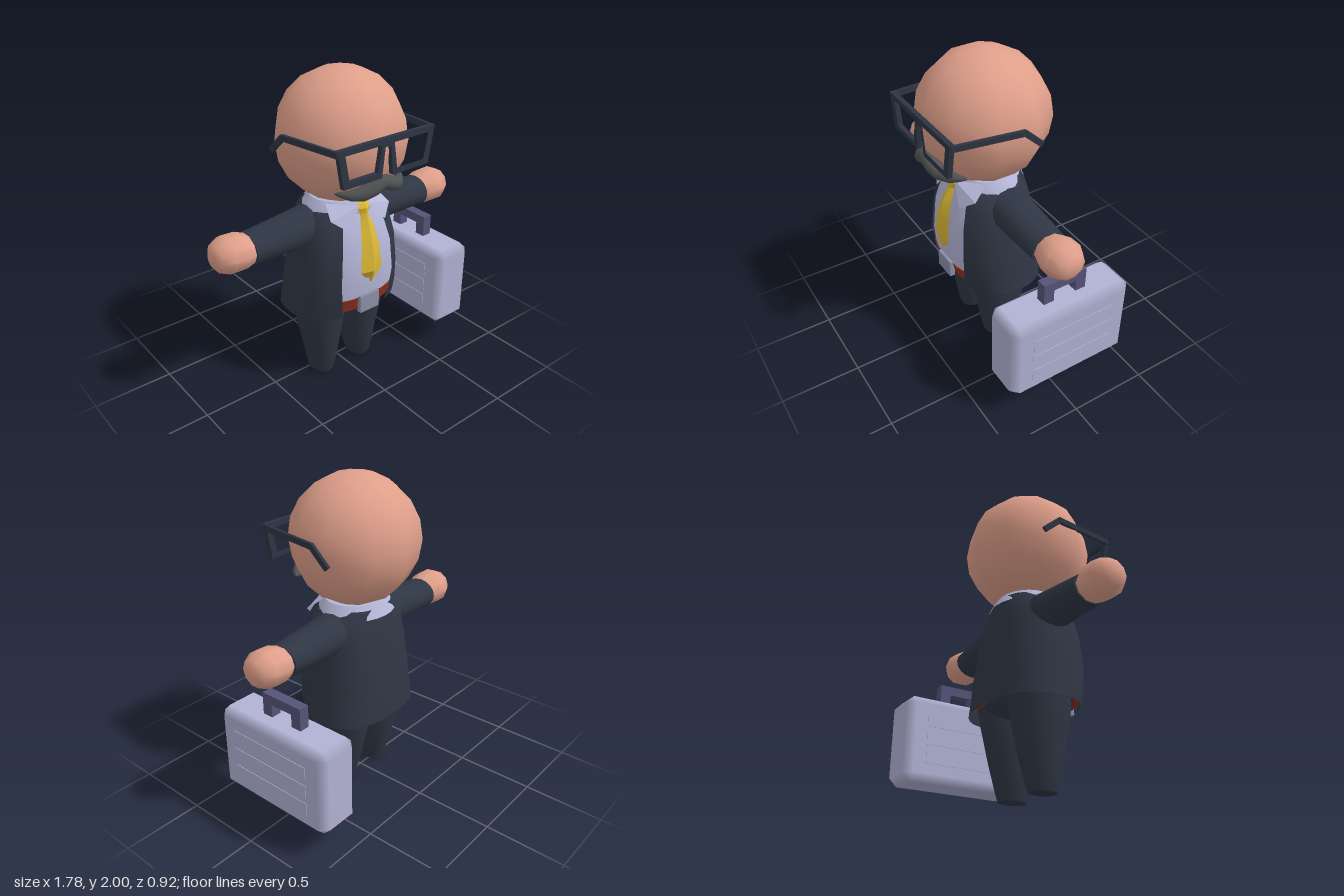
import * as THREE from 'three';
import { toCreasedNormals } from 'three/addons/utils/BufferGeometryUtils.js';
import { ConvexGeometry } from 'three/addons/geometries/ConvexGeometry.js';

const mat = (name, color, side = THREE.FrontSide) => {
  const m = new THREE.MeshStandardMaterial({ color, side });
  m.name = name;
  return m;
};

// One horizontal cross-section; gap leaves it open at the front, p < 1 squares it off
function ring(y, rx, back, front, { gap = 0, cx = 0, n = 24, p = 1 } = {}) {
  const a0 = gap ? Math.asin(Math.pow(gap / rx, 1 / p)) : 0;
  const pow = v => Math.sign(v) * Math.pow(Math.abs(v), p);
  const count = gap ? n + 1 : n;
  return Array.from({ length: count }, (_, i) => {
    const a = a0 + (2 * Math.PI - 2 * a0) * i / n;
    return [cx + rx * pow(Math.sin(a)), y, (front + back) / 2 + (front - back) / 2 * pow(Math.cos(a))];
  });
}

// Skin over cross-sections listed from bottom to top
function loft(rings, { closed = true, caps = false, crease = 0.8 } = {}) {
  if (caps) {
    const centre = r => {
      const c = [0, 1, 2].map(k => r.reduce((s, q) => s + q[k], 0) / r.length);
      return r.map(() => c);
    };
    rings = [centre(rings[0]), ...rings, centre(rings[rings.length - 1])];
  }
  const n = rings[0].length, index = [];
  for (let i = 0; i < rings.length - 1; i++) {
    for (let j = 0; j < (closed ? n : n - 1); j++) {
      const k = (j + 1) % n, a = i * n + j, b = i * n + k;
      if (!(caps && i === 0)) index.push(a, b, b + n);
      else index.push(a, b + n, a + n);
      if (!(caps && (i === 0 || i === rings.length - 2))) index.push(a, b + n, a + n);
    }
  }
  const g = new THREE.BufferGeometry();
  g.setAttribute('position', new THREE.Float32BufferAttribute(rings.flat(2), 3));
  g.setIndex(index);
  return toCreasedNormals(g, crease);
}

// Box with chamfered edges, shaded softly across the chamfers
function chamferBox(w, h, d, c) {
  const half = [w / 2, h / 2, d / 2], pts = [];
  for (const sx of [-1, 1]) for (const sy of [-1, 1]) for (const sz of [-1, 1])
    for (let axis = 0; axis < 3; axis++)
      pts.push(new THREE.Vector3(...[sx, sy, sz].map((s, k) => s * (half[k] - (k === axis ? 0 : c)))));
  const g = new ConvexGeometry(pts), pos = g.attributes.position;
  for (let i = 0; i < pos.count; i++) {
    const v = [pos.getX(i), pos.getY(i), pos.getZ(i)];
    g.attributes.normal.setXYZ(i, ...v.map((q, k) => (Math.abs(q) > half[k] - 1e-4 ? Math.sign(q) : 0)));
  }
  return g;
}

export function createModel() {
  const model = new THREE.Group();
  const skin = mat('skin', 0xdf9f8a), suit = mat('suit', 0x2f3644, THREE.DoubleSide);
  const shirtMat = mat('shirt', 0xb5b6d8, THREE.DoubleSide), gold = mat('tie gold', 0xdcb936);
  const red = mat('belt red', 0x93301f), metal = mat('buckle', 0x8b90a8);
  const shell = mat('case shell', 0xb1b2d3), grip = mat('case handle', 0x565379);
  const frameMat = mat('glasses frame', 0x2d3442), hair = mat('moustache grey', 0x505153);

  const add = (name, geo, material, x = 0, y = 0, z = 0) => {
    const m = new THREE.Mesh(geo, material);
    m.name = name;
    m.position.set(x, y, z);
    model.add(m);
    return m;
  };

  // Head
  add('head', new THREE.SphereGeometry(0.4, 10, 10).rotateY(Math.PI / 2), skin, 0, 1.6, 0.042);

  // Jacket, open at the front: y, half width, back, front, half opening
  const jacket = [
    [0.505, 0.38, -0.265, 0.29, 0.17], [0.6, 0.368, -0.26, 0.32, 0.185], [0.75, 0.352, -0.25, 0.34, 0.2],
    [0.95, 0.33, -0.222, 0.325, 0.185], [1.08, 0.305, -0.2, 0.285, 0.16],
    [1.16, 0.265, -0.18, 0.25, 0.13], [1.215, 0.2, -0.16, 0.2, 0.1],
  ];
  add('jacket', loft(jacket.map(([y, w, b, f, gap]) => ring(y, w, b, f, { gap, p: 0.8 })), { closed: false }), suit);

  // Shirt, belt and hips
  const body = rows => rows.map(([y, w, b, f]) => ring(y, w, b, f, { p: 0.8 }));
  add('shirt', loft(body([
    [0.6, 0.335, -0.23, 0.315], [0.75, 0.32, -0.22, 0.335], [0.95, 0.3, -0.19, 0.32],
    [1.08, 0.275, -0.17, 0.28], [1.16, 0.235, -0.15, 0.25], [1.22, 0.18, -0.13, 0.22],
  ]), { caps: true }), shirtMat);
  add('belt', loft(body([[0.545, 0.33, -0.225, 0.3], [0.635, 0.335, -0.23, 0.325]]), { caps: true }), red);
  add('buckle', chamferBox(0.155, 0.12, 0.04, 0.008), metal, 0, 0.588, 0.32);
  add('hips', loft(body([[0.46, 0.1, -0.1, 0.15], [0.5, 0.22, -0.18, 0.23], [0.56, 0.315, -0.21, 0.29]]),
    { caps: true }), suit);

  // Collar band and tie
  add('collar', loft([ring(1.165, 0.255, -0.195, 0.25), ring(1.2, 0.235, -0.175, 0.25), ring(1.242, 0.2, -0.15, 0.22)]),
    shirtMat);
  const tie = [
    [0.735, 0.008, 0.345], [0.82, 0.08, 0.37], [0.97, 0.068, 0.355], [1.08, 0.05, 0.325],
    [1.165, 0.03, 0.29], [1.205, 0.046, 0.287], [1.228, 0.042, 0.27],
  ];
  add('tie', loft(tie.map(([y, w, z]) => ring(y, w, z - 0.05, z, { n: 4 })), { caps: true, crease: 0.5 }), gold);

  for (const s of [1, -1]) {
    const side = s > 0 ? 'left' : 'right';

    // Collar flap
    const flap = new THREE.BufferGeometry();
    flap.setAttribute('position', new THREE.Float32BufferAttribute([
      s * 0.035, 1.225, 0.262, s * 0.14, 1.1, 0.295, s * 0.225, 1.165, 0.235, s * 0.19, 1.238, 0.14,
    ], 3));
    flap.setIndex(s > 0 ? [0, 1, 2, 0, 2, 3] : [0, 2, 1, 0, 3, 2]);
    add(side + 'CollarFlap', toCreasedNormals(flap, 0.3), shirtMat);

    // Sleeve and hand: distance out, height centre, half height, half depth
    const limb = (rows, n) => loft(rows.map(([x, cy, ry, rz]) =>
      ring(x, ry, 0.02 - rz, 0.02 + rz, { cx: -s * cy, n })), { caps: true }).rotateZ(-s * Math.PI / 2);
    add(side + 'Sleeve', limb([
      [0.14, 1.08, 0.11, 0.13], [0.22, 1.075, 0.122, 0.138], [0.36, 1.066, 0.114, 0.13], [0.66, 1.05, 0.094, 0.116],
    ], 16), suit);
    add(side + 'Hand', limb([
      [0.65, 1.052, 0.088, 0.1], [0.72, 1.056, 0.112, 0.124], [0.8, 1.058, 0.114, 0.126],
      [0.865, 1.058, 0.085, 0.09], [0.89, 1.058, 0.045, 0.045],
    ], 10), skin);

    // Trouser leg: y, side centre, half width, back, front
    const leg = [
      [0, 0.155, 0.07, -0.055, 0.125], [0.04, 0.155, 0.085, -0.068, 0.14], [0.22, 0.153, 0.115, -0.12, 0.17],
      [0.44, 0.158, 0.148, -0.17, 0.21], [0.56, 0.165, 0.15, -0.19, 0.22],
    ];
    add(side + 'Leg', loft(leg.map(([y, cx, w, b, f]) => ring(y, w, b, f, { cx, n: 16 }).map(([x, v, z]) => [x, v, z])),
      { caps: true }), suit).position.x = s > 0 ? 0 : -0.31 + 0;
    if (s < 0) { // same leg, mirrored about its own centre line
      const m = model.children[model.children.length - 1];
      m.geometry = loft(leg.map(([y, cx, w, b, f]) => ring(y, w, b, f, { cx: -cx, n: 16 })), { caps: true });
      m.position.x = 0;
    }

    // Glasses temple: straight bar, then a bent tip
    const pts = [[0.345, 1.668, 0.44], [0.393, 1.655, 0.02], [0.393, 1.553, -0.09]]
      .map(([x, y, z]) => new THREE.Vector3(s * x, y, z));
    for (let i = 0; i < 2; i++) {
      const length = pts[i].distanceTo(pts[i + 1]) + 0.012;
      const bar = add(side + (i ? 'TempleTip' : 'Temple'), new THREE.BoxGeometry(0.02, 0.036, length), frameMat);
      bar.position.lerpVectors(pts[i], pts[i + 1], 0.5);
      bar.lookAt(pts[i + 1]);
    }
  }

  // Glasses front with two lens openings
  const vec = list => list.map(([x, y]) => new THREE.Vector2(x, y));
  const half = [[0.35, 1.69], [0.31, 1.465], [0.04, 1.465], [0.02, 1.64]];
  const front = new THREE.Shape(vec([...half, ...half.map(([x, y]) => [-x, y]).reverse()]));
  for (const s of [1, -1])
    front.holes.push(new THREE.Path(vec([[0.3, 1.655], [0.27, 1.5], [0.07, 1.5], [0.045, 1.655]].map(([x, y]) => [s * x, y]))));
  add('glassesFront', new THREE.ExtrudeGeometry(front, { depth: 0.03, bevelEnabled: false }), frameMat, 0, 0, 0.425);

  // Moustache: distance from centre, bottom, top, middle depth, half thickness
  const hairHalf = [
    [0, 1.375, 1.465, 0.415, 0.045], [0.06, 1.35, 1.445, 0.41, 0.05], [0.12, 1.328, 1.412, 0.39, 0.048],
    [0.18, 1.33, 1.39, 0.355, 0.04], [0.225, 1.35, 1.385, 0.32, 0.025], [0.248, 1.366, 1.374, 0.3, 0.008],
  ];
  const hairRows = [...hairHalf.slice(1).reverse().map(([x, ...r]) => [-x, ...r]), ...hairHalf];
  add('moustache', loft(hairRows.map(([x, lo, hi, z, t]) =>
    ring(x, (hi - lo) / 2, z - t, z + t, { cx: -(lo + hi) / 2, n: 10 })), { caps: true, crease: 1 })
    .rotateZ(-Math.PI / 2), hair);

  // Briefcase with raised side strips and a handle
  add('briefcase', chamferBox(0.285, 0.555, 0.835, 0.05), shell, 0.717, 0.442, -0.047);
  for (const x of [0.574, 0.86])
    for (const y of [0.32, 0.44, 0.56])
      add('caseStrip', new THREE.BoxGeometry(0.006, 0.08, 0.57), shell, x, y, -0.047);
  for (const z of [0.065, -0.16])
    add('handlePost', new THREE.BoxGeometry(0.065, 0.1, 0.07), grip, 0.713, 0.75, z);
  add('handleBar', new THREE.BoxGeometry(0.065, 0.06, 0.295), grip, 0.713, 0.83, -0.0475);

  return model;
}
